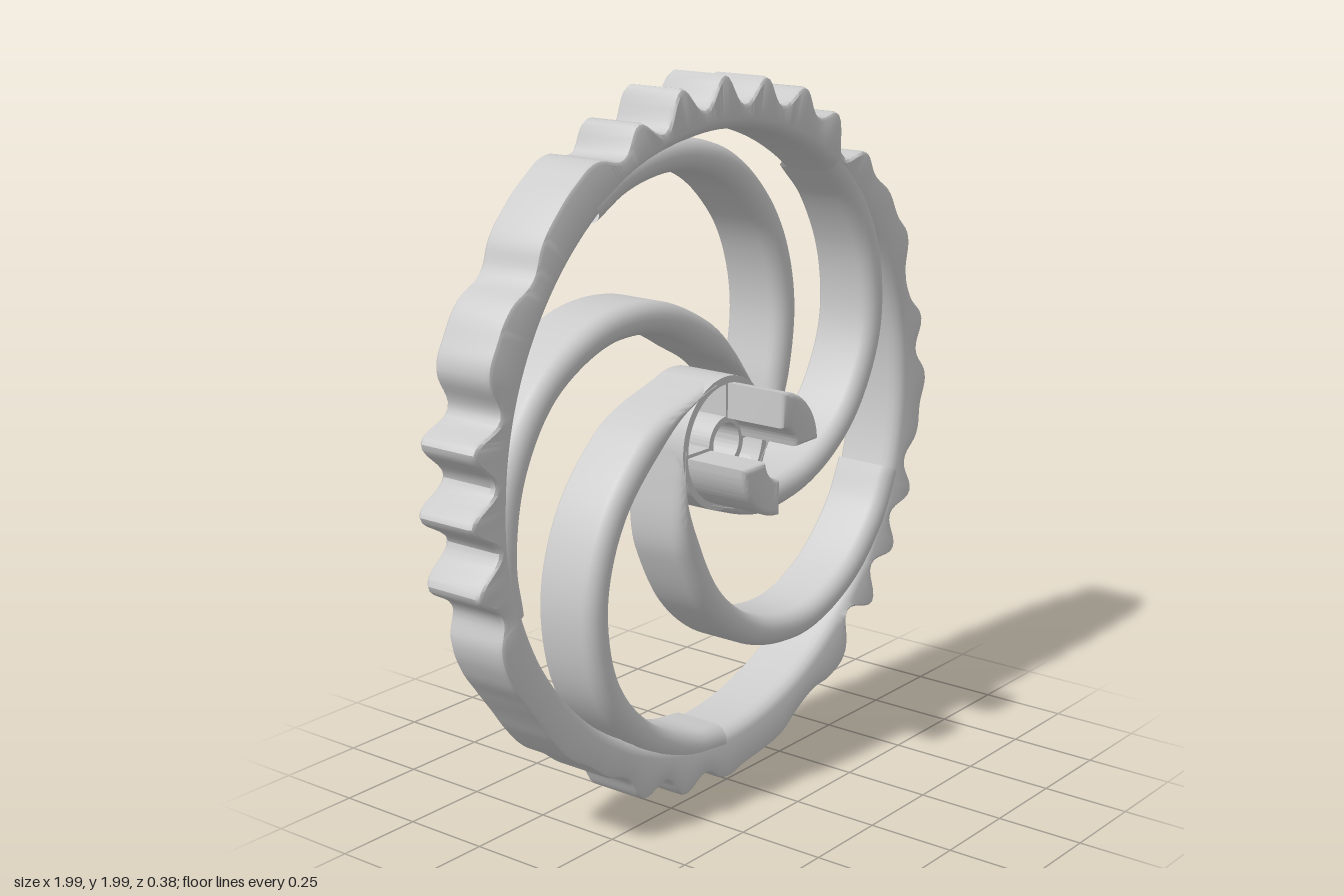
import * as THREE from 'three';
import { toCreasedNormals } from 'three/addons/utils/BufferGeometryUtils.js';

const THICK = 0.19;
const material = new THREE.MeshStandardMaterial({ color: 0xcccccc, side: THREE.DoubleSide });
const rad = THREE.MathUtils.degToRad;

// Joins equal-length cross-section loops into one skin
function loft(rings, closed) {
  const n = rings[0].length, index = [];
  const count = closed ? rings.length : rings.length - 1;
  for (let i = 0; i < count; i++) {
    for (let j = 0; j < n; j++) {
      const k = (j + 1) % n, next = (i + 1) % rings.length;
      const a = i * n + j, b = i * n + k, c = next * n + k, d = next * n + j;
      index.push(a, b, c, a, c, d);
    }
  }
  const geometry = new THREE.BufferGeometry().setFromPoints(rings.flat());
  geometry.setIndex(index);
  return toCreasedNormals(geometry, 0.65);
}

function addMesh(parent, name, geometry) {
  const mesh = new THREE.Mesh(geometry, material);
  mesh.name = name;
  parent.add(mesh);
  return mesh;
}

// Quarter of a ring between two radii, inset from its straight sides
function sector(path, inner, outer, start, inset) {
  const a = start + Math.asin(inset / outer), b = start + Math.PI / 2 - Math.asin(inset / outer);
  const c = start + Math.asin(inset / inner), d = start + Math.PI / 2 - Math.asin(inset / inner);
  path.absarc(0, 0, outer, a, b, false);
  path.absarc(0, 0, inner, d, c, true);
  path.closePath();
  return path;
}

// Worn tooth outline: radii clockwise from the top, at even angles
const toothRadii = [
  1.0, 0.92, 0.995, 0.93, 1.0, 0.945, 0.99, 0.90, 0.975, 0.96, 0.98, 0.975, 0.99, 0.94,
  0.94, 0.985, 0.945, 0.995, 0.975, 0.972, 0.925, 0.99, 0.914, 0.985, 0.904, 0.987, 0.89, 0.98,
  0.985, 0.955, 0.958, 0.98, 0.98, 0.98, 0.99, 0.95, 0.996, 0.945, 0.995, 0.95, 0.958, 0.955,
  0.967, 0.965, 0.96, 0.964, 0.973, 0.966, 0.93, 0.993, 0.905, 0.995, 0.912, 0.998, 0.92, 0.985,
  0.992, 0.985, 0.95, 0.976, 0.985, 0.988, 0.98, 0.925, 0.974, 0.91, 0.996, 0.92,
];

function rimGeometry() {
  const points = toothRadii.map((r, i) => {
    const a = Math.PI / 2 - (i / toothRadii.length) * Math.PI * 2;
    return new THREE.Vector3(r * Math.cos(a), r * Math.sin(a), 0);
  }).reverse();
  const outline = new THREE.CatmullRomCurve3(points, true, 'catmullrom', 0.6);
  const steps = toothRadii.length * 6, rings = [];
  for (let i = 0; i < steps; i++) {
    const p = outline.getPoint(i / steps);
    const R = p.length(), a = Math.atan2(p.y, p.x);
    const section = [
      [0.858, -THICK], [0.85, -0.182], [0.85, -0.045], [0.854, -0.026], [0.864, -0.011], [0.88, -0.002],
      [R - 0.014, 0], [R - 0.004, -0.005], [R, -0.016], [R, -THICK + 0.014], [R - 0.012, -THICK],
    ];
    rings.push(section.map(([r, z]) => new THREE.Vector3(r * Math.cos(a), r * Math.sin(a), z)));
  }
  return loft(rings, true);
}

// Spiral arm: round front, flat back, narrowing into the hub
function spokeGeometry() {
  const path = new THREE.CatmullRomCurve3([
    [-112, 0.175], [-86, 0.19], [-62, 0.238], [-43, 0.31], [-24.6, 0.435], [-12, 0.54],
    [-1.4, 0.63], [11, 0.725], [20, 0.78], [32, 0.832], [45, 0.868], [54, 0.88],
  ].map(([deg, r]) => new THREE.Vector3(r * Math.cos(rad(deg)), r * Math.sin(rad(deg)), 0)));
  const rings = [], steps = 64;
  for (let i = 0; i <= steps; i++) {
    const p = path.getPoint(i / steps), t = path.getTangent(i / steps);
    const w = THREE.MathUtils.lerp(0.012, 0.044, THREE.MathUtils.smoothstep(p.length(), 0.16, 0.31));
    const section = [[-w + 0.006, -THICK + 0.001], [-w, -THICK + 0.008]];
    for (let k = 0; k <= 10; k++) {
      const a = Math.PI * (1 - k / 10);
      section.push([w * Math.cos(a), -0.045 + 0.044 * Math.sin(a)]);
    }
    section.push([w, -THICK + 0.008], [w - 0.006, -THICK + 0.001]);
    rings.push(section.map(([s, z]) => new THREE.Vector3(p.x + t.y * s, p.y - t.x * s, z)));
  }
  return loft(rings, false);
}

// Hub plate with a bore and two quarter openings
function hubGeometry() {
  const shape = new THREE.Shape().absarc(0, 0, 0.187, 0, Math.PI * 2, false);
  shape.holes.push(new THREE.Path().absarc(0, 0, 0.057, 0, Math.PI * 2, true));
  for (const start of [Math.PI / 2, -Math.PI / 2]) {
    shape.holes.push(sector(new THREE.Path(), 0.075, 0.165, start, 0.002));
  }
  const geometry = new THREE.ExtrudeGeometry(shape, { depth: THICK - 0.004, bevelEnabled: false, curveSegments: 32 });
  geometry.translate(0, 0, -THICK + 0.002);
  return toCreasedNormals(geometry, 0.6);
}

// Quarter-round coupling dog standing out of the front
function dogGeometry() {
  const bevel = 0.016;
  const shape = sector(new THREE.Shape(), 0.084, 0.152, 0, 0.022);
  const geometry = new THREE.ExtrudeGeometry(shape, {
    depth: 0.19, bevelSize: bevel, bevelThickness: bevel, bevelSegments: 4, curveSegments: 20,
  });
  geometry.translate(0, 0, -bevel);
  return toCreasedNormals(geometry, 0.7);
}

export function createModel() {
  const model = new THREE.Group();
  model.name = 'spiralSpokeGear';
  const wheel = new THREE.Group();
  wheel.name = 'wheel';
  wheel.position.y = 1;
  model.add(wheel);

  addMesh(wheel, 'toothedRim', rimGeometry());

  const spoke = spokeGeometry();
  for (let i = 0; i < 5; i++) {
    addMesh(wheel, 'spiralSpoke', spoke).rotation.z = (i * Math.PI * 2) / 5;
  }

  addMesh(wheel, 'hub', hubGeometry());

  const dog = dogGeometry();
  for (const turn of [0, Math.PI]) {
    const mesh = addMesh(wheel, 'couplingDog', dog);
    mesh.rotation.z = turn;
    mesh.position.z = 0.015;
    mesh.scale.z = 0.92;
  }
  return model;
}
